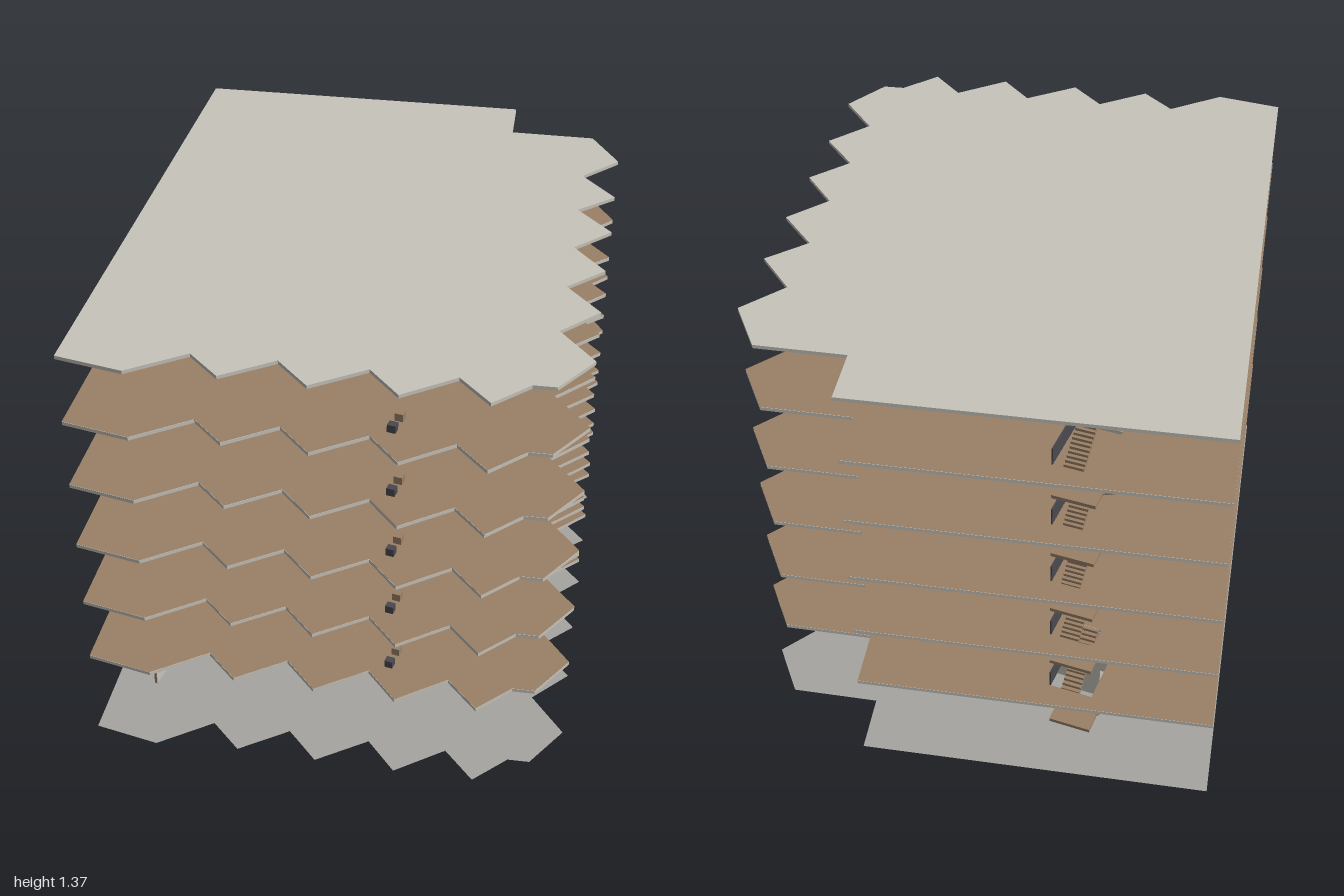
import * as THREE from 'three';

const mat = (name, color, side = THREE.FrontSide) => {
  const m = new THREE.MeshStandardMaterial({ color, side });
  m.name = name;
  return m;
};

// Saw-toothed floor outline as [x, z]
const OUTLINE = [
  [-0.87, -0.78], [0.18, -1], [0.225, -0.815], [0.49, -0.868], [0.615, -0.725], [0.535, -0.58],
  [0.67, -0.47], [0.585, -0.345], [0.72, -0.24], [0.64, -0.105], [0.765, 0], [0.685, 0.13],
  [0.815, 0.235], [0.735, 0.375], [0.87, 0.49], [0.81, 0.65], [0.745, 0.665], [0.67, 0.785],
  [0.555, 0.7], [0.435, 0.838], [0.32, 0.75], [0.195, 0.885], [0.075, 0.8], [-0.045, 0.93],
  [-0.16, 0.855], [-0.29, 1], [-0.495, 1],
];
const STOREY = 0.2155, FIRST = 0.295, SLAB = 0.011, FLOORS = 5;
const STAIR_BACK = -0.805, LANDING_Z = -0.74;

export function createModel() {
  const model = new THREE.Group();
  model.name = 'building';

  const concrete = mat('concrete', 0xc8c4bb);
  const ground = mat('ground grey', 0xa6a5a1, THREE.DoubleSide);
  const wood = mat('wood', 0x9b8167);
  const dark = mat('dark grey', 0x4b494f);

  const add = (parent, name, geo, material, x = 0, y = 0, z = 0) => {
    const mesh = new THREE.Mesh(geo, material);
    mesh.name = name;
    mesh.position.set(x, y, z);
    parent.add(mesh);
    return mesh;
  };
  // Box given by its min and max corners
  const span = (parent, name, material, x0, x1, y0, y1, z0, z1) =>
    add(parent, name, new THREE.BoxGeometry(x1 - x0, y1 - y0, z1 - z0), material,
      (x0 + x1) / 2, (y0 + y1) / 2, (z0 + z1) / 2);
  const rect = (x0, x1, y0, y1, Type = THREE.Path) => new Type([
    [x0, y0], [x1, y0], [x1, y1], [x0, y1]].map(([x, y]) => new THREE.Vector2(x, y)));

  // Floor shape, with an optional stairwell starting at holeZ
  const floorShape = (holeZ) => {
    const s = new THREE.Shape(OUTLINE.map(([x, z]) => new THREE.Vector2(x, -z)));
    if (holeZ !== undefined) s.holes.push(rect(-0.5, -0.366, -holeZ, -STAIR_BACK));
    return s;
  };
  const slabGeo = (holeZ) => new THREE.ExtrudeGeometry(floorShape(holeZ),
    { depth: SLAB, bevelEnabled: false }).rotateX(-Math.PI / 2);
  const sheetGeo = (holeZ) => new THREE.ShapeGeometry(floorShape(holeZ)).rotateX(-Math.PI / 2);

  // Ground sheet and roof
  add(model, 'groundPlate', sheetGeo(), ground);
  add(model, 'roof', slabGeo(), concrete, 0, FIRST + FLOORS * STOREY - SLAB, 0);

  // Two stair flights with a landing between two levels
  const addStairs = (y0, rise, startZ, steps) => {
    const stairs = new THREE.Group();
    stairs.name = 'stairs';
    const run = (startZ - LANDING_Z) / steps, riser = rise / 2 / steps;
    for (let i = 0; i < steps; i++) {
      const zUp = startZ - i * run, yUp = y0 + (i + 1) * riser;
      span(stairs, 'lowerStep', wood, -0.49, -0.433, Math.max(y0, yUp - riser * 1.8), yUp, zUp - run, zUp);
      const zBack = LANDING_Z + i * run, yBack = y0 + rise / 2 + (i + 1) * riser;
      span(stairs, 'upperStep', wood, -0.425, -0.366, yBack - riser * 1.8, yBack, zBack, zBack + run);
    }
    const y = y0 + rise / 2;
    span(stairs, 'landing', wood, -0.495, -0.366, y - 0.011, y, STAIR_BACK, LANDING_Z);
    model.add(stairs);
  };
  addStairs(0, FIRST, -0.53, 17);

  // Small furniture block standing on y
  const cube = (parent, name, material, x, y, z, w = 0.025, d = 0.023, h = 0.025) =>
    add(parent, name, new THREE.BoxGeometry(w, h, d), material, x, y + h / 2, z);

  // Upper floors
  for (let i = 0; i < FLOORS; i++) {
    const top = FIRST + i * STOREY;
    const holeZ = i === 0 ? -0.53 : -0.6;
    const floor = new THREE.Group();
    floor.name = 'floor' + (i + 1);
    model.add(floor);
    add(floor, 'slab', slabGeo(holeZ), concrete, 0, top - SLAB, 0);
    add(floor, 'woodFlooring', sheetGeo(holeZ), wood, 0, top + 0.001, 0);
    span(floor, 'stairRailing', dark, -0.37, -0.366, top, top + 0.056, STAIR_BACK, -0.53);
    for (const x of [-0.385, -0.195, -0.002, 0.193])
      cube(floor, 'table', wood, x, top, -0.333, 0.08, 0.035, 0.028);
    for (const z of [-0.133, -0.2, -0.252, -0.308, -0.365]) cube(floor, 'seat', dark, 0.47, top, z);
    cube(floor, 'sideTable', wood, 0.47, top, -0.11);
    cube(floor, 'seat', dark, 0.37, top, 0.705);
    cube(floor, 'sideTable', wood, 0.37, top, 0.645);
    if (i < FLOORS - 1) addStairs(top, STOREY, -0.6, 13);
  }

  // Ground storey walls, facing front, with a doorway
  const H = FIRST - SLAB;
  const doorWall = (name, x0, x1, d0, d1, z) => {
    const s = new THREE.Shape();
    [[x0, 0], [d0, 0], [d0, 0.115], [d1, 0.115], [d1, 0], [x1, 0], [x1, H], [x0, H]]
      .forEach(([x, y], i) => (i ? s.lineTo(x, y) : s.moveTo(x, y)));
    add(model, name, new THREE.ExtrudeGeometry(s, { depth: 0.007, bevelEnabled: false }), concrete, 0, 0, z);
  };
  doorWall('backWall', -0.357, 0.485, -0.13, -0.08, -0.49);
  doorWall('stairWall', -0.49, -0.369, -0.485, -0.434, -0.532);
  span(model, 'sideWall', concrete, -0.419, -0.411, 0, H, -0.525, 0.757);

  // Edge strips on the wall ends
  span(model, 'sideWallEdge', wood, -0.419, -0.411, 0, H, 0.757, 0.76);
  span(model, 'stairWallEdge', wood, -0.369, -0.366, 0, H, -0.532, -0.525);
  span(model, 'backWallEdge', dark, 0.485, 0.487, 0, H, -0.49, -0.483);

  // Furniture along the back wall
  for (const x of [-0.36, -0.278, -0.195, -0.107, -0.01, 0.068, 0.15, 0.237, 0.317, 0.41])
    cube(model, 'groundSeat', dark, x, 0.001, -0.468);
  for (const x of [-0.23, 0.08]) cube(model, 'groundTable', wood, x, 0.001, -0.425);

  return model;
}
